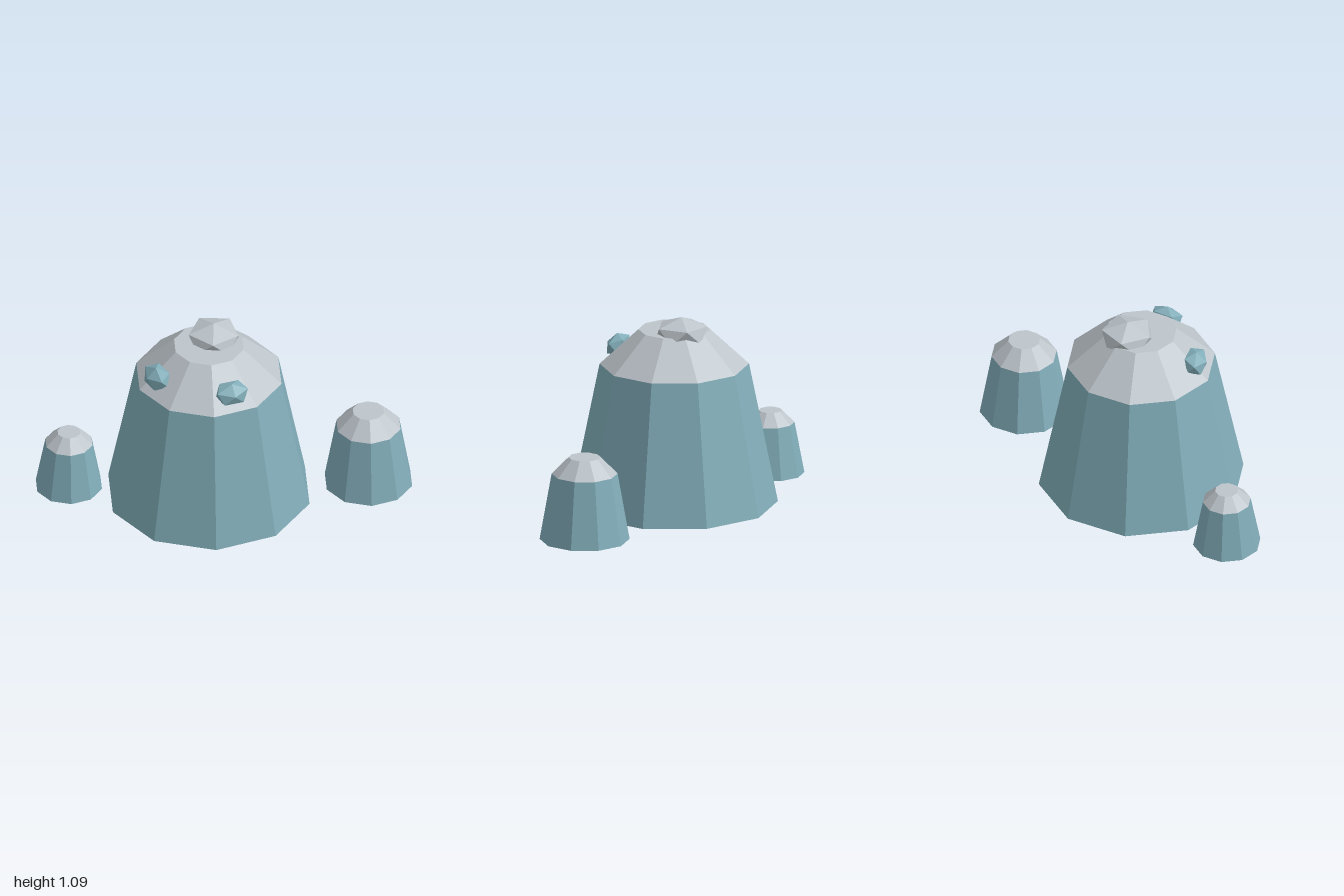
import * as THREE from 'three';

const rad = THREE.MathUtils.degToRad;

export function createModel() {
  const model = new THREE.Group();
  const stone = new THREE.MeshStandardMaterial({ color: 0x82aeba, flatShading: true });
  stone.name = 'blue stone';
  const snow = new THREE.MeshStandardMaterial({ color: 0xbdc5cb, flatShading: true });
  snow.name = 'pale grey';

  function add(name, geometry, material, parent = model) {
    const mesh = new THREE.Mesh(geometry, material);
    mesh.name = name;
    parent.add(mesh);
    return mesh;
  }

  // Ten-sided tapered frustum standing between two heights
  function frustum(r0, r1, y0, y1) {
    const g = new THREE.CylinderGeometry(r1, r0, y1 - y0, 10, 1, false, rad(24));
    return g.translate(0, (y0 + y1) / 2, 0);
  }

  // A mound is a steep trunk with a pale sloping cap
  function mound(name, x, z, rBase, rShoulder, rTop, yShoulder, yTop) {
    const group = new THREE.Group();
    group.name = name;
    group.position.set(x, 0, z);
    add(name + 'Trunk', frustum(rBase, rShoulder, 0, yShoulder), stone, group);
    add(name + 'Cap', frustum(rShoulder, rTop, yShoulder, yTop), snow, group);
    model.add(group);
    return group;
  }

  const main = mound('mainMound', -0.06, 0.03, 0.578, 0.417, 0.2, 0.8, 1.0);
  mound('leftMound', 0.746, -0.358, 0.251, 0.184, 0.09, 0.38, 0.475);
  mound('rightMound', -0.81, 0.252, 0.19, 0.135, 0.065, 0.292, 0.362);

  // Flattened pale boulder on the summit, one corner pointing up
  const boulder = new THREE.IcosahedronGeometry(1, 0);
  boulder.rotateX(-Math.atan((1 + Math.sqrt(5)) / 2));
  boulder.rotateY(Math.PI / 2);
  boulder.scale(0.162, 0.09, 0.162);
  add('summitBoulder', boulder, snow).position.set(-0.06, 1.0, -0.05);

  // Pair of pebbles lying flat on the front slope of the cap
  for (const side of [-1, 1]) {
    const pebble = new THREE.IcosahedronGeometry(1, 0).scale(0.105, 0.075, 0.06);
    pebble.rotateX(rad(-47));
    pebble.rotateY(side * rad(39));
    add(side > 0 ? 'leftPebble' : 'rightPebble', pebble, stone, main)
      .position.set(side * 0.222, 0.885, 0.24);
  }

  return model;
}
